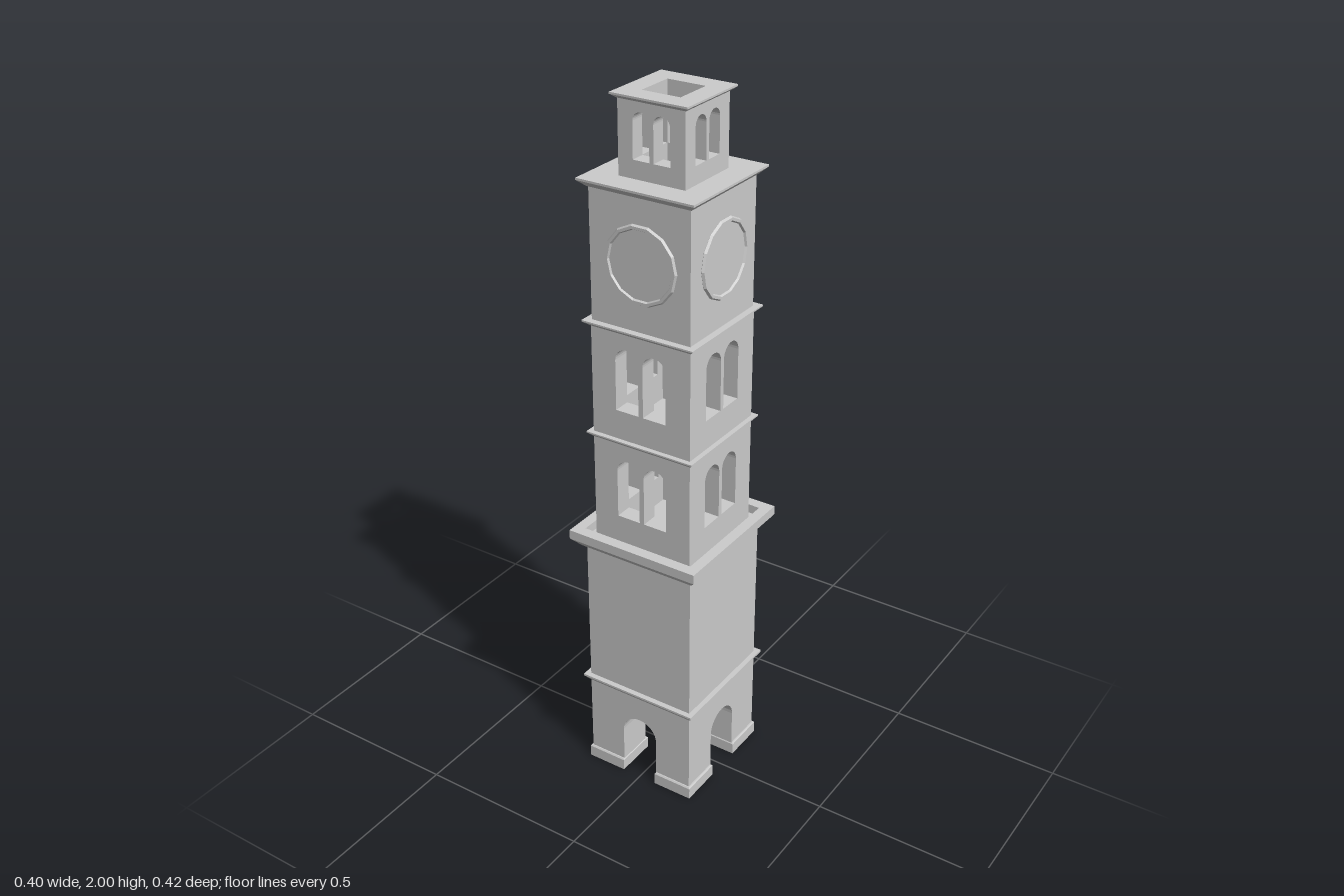
import * as THREE from 'three';

const stone = new THREE.MeshStandardMaterial({ color: 0xcccccc, flatShading: true });

function add(parent, name, geometry) {
  const mesh = new THREE.Mesh(geometry, stone);
  mesh.name = name;
  parent.add(mesh);
  return mesh;
}

// Square-plan solid: profile of [half width, height] swept round four sides
function squareLathe(parent, name, profile) {
  const pts = profile.map(([h, y]) => new THREE.Vector2(h * Math.SQRT2, y));
  return add(parent, name, new THREE.LatheGeometry(pts, 4, Math.PI / 4));
}

// Moulding that flares from a narrow underside to a wide top
function band(parent, name, y0, y1, inner, outer) {
  const lip = y0 + (y1 - y0) * 0.75;
  return squareLathe(parent, name, [[0, y0], [inner, y0], [outer, lip], [outer, y1], [0, y1]]);
}

// Round-headed window opening
function archHole(x, half, y0, top) {
  const p = new THREE.Path();
  p.moveTo(x - half, y0);
  p.lineTo(x + half, y0);
  p.absarc(x, top - half, half, 0, Math.PI, false);
  p.closePath();
  return p;
}

function rectWall(half, y0, y1, holes) {
  const s = new THREE.Shape();
  s.moveTo(-half, y0);
  s.lineTo(half, y0);
  s.lineTo(half, y1);
  s.lineTo(-half, y1);
  s.closePath();
  s.holes.push(...holes);
  return s;
}

// Wall with an arched doorway open to the ground
function doorWall(half, y0, y1, w, top) {
  const s = new THREE.Shape();
  s.moveTo(-half, y0);
  s.lineTo(-w, y0);
  s.absarc(0, top - w, w, Math.PI, 0, true);
  s.lineTo(w, y0);
  s.lineTo(half, y0);
  s.lineTo(half, y1);
  s.lineTo(-half, y1);
  s.closePath();
  return s;
}

// Four thick walls; the side pair fits between the front and back pair
function fourWalls(parent, name, half, depth, makeShape) {
  const group = new THREE.Group();
  group.name = name;
  for (let i = 0; i < 4; i++) {
    const shape = makeShape(i % 2 ? half - depth : half);
    const geo = new THREE.ExtrudeGeometry(shape, { depth, bevelEnabled: false, curveSegments: 8 });
    geo.translate(0, 0, half - depth);
    geo.rotateY(i * Math.PI / 2);
    add(group, 'wall', geo);
  }
  parent.add(group);
  return group;
}

// Storey with a pair of arched windows on each side
function windowStorey(parent, name, half, depth, y0, y1, win) {
  return fourWalls(parent, name, half, depth, (h) =>
    rectWall(h, y0, y1, [-1, 1].map((s) => archHole(s * win.x, win.half, win.y0, win.top))));
}

export function createModel() {
  const tower = new THREE.Group();
  tower.name = 'clockTower';

  // Lower tower, slightly deeper than wide
  const lower = new THREE.Group();
  lower.name = 'lowerTower';
  lower.scale.z = 1.035;
  lower.position.set(-0.002, 0, -0.002);
  tower.add(lower);

  fourWalls(lower, 'archedBase', 0.168, 0.106, (h) => doorWall(h, 0.034, 0.285, 0.056, 0.203));

  // Pier feet, open underneath
  for (const sx of [-1, 1]) {
    for (const sz of [-1, 1]) {
      const foot = squareLathe(lower, 'pierFoot', [[0.06, 0], [0.06, 0.034], [0.057, 0.038], [0, 0.038]]);
      foot.position.set(sx * 0.114, 0, sz * 0.114);
    }
  }

  band(lower, 'baseBand', 0.279, 0.302, 0.169, 0.183);
  squareLathe(lower, 'shaft', [[0.168, 0.3], [0.168, 0.745]]);

  // Main cornice with a shallow recess behind its rim
  squareLathe(lower, 'mainCornice', [
    [0, 0.74], [0.177, 0.74], [0.201, 0.767], [0.201, 0.794],
    [0.17, 0.794], [0.17, 0.768], [0, 0.768],
  ]);

  // Upper tower
  const upper = new THREE.Group();
  upper.name = 'upperTower';
  upper.position.set(-0.003, 0, -0.003);
  tower.add(upper);

  windowStorey(upper, 'firstWindowStorey', 0.151, 0.05, 0.766, 1.08,
    { x: 0.042, half: 0.035, y0: 0.853, top: 1.028 });
  band(upper, 'firstStoreyBand', 1.076, 1.092, 0.152, 0.165);
  windowStorey(upper, 'secondWindowStorey', 0.151, 0.05, 1.09, 1.4,
    { x: 0.042, half: 0.035, y0: 1.175, top: 1.354 });
  band(upper, 'secondStoreyBand', 1.397, 1.414, 0.152, 0.168);
  squareLathe(upper, 'clockStorey', [[0.149, 1.41], [0.149, 1.775]]);
  band(upper, 'clockCornice', 1.769, 1.792, 0.152, 0.171);

  // Clock face and rim on each side
  for (let i = 0; i < 4; i++) {
    const clock = new THREE.Group();
    clock.name = 'clock';
    clock.rotation.y = i * Math.PI / 2;
    const face = add(clock, 'clockFace', new THREE.CircleGeometry(0.1, 14));
    face.position.set(0.004, 1.595, 0.151);
    const rim = add(clock, 'clockRim', new THREE.TorusGeometry(0.1, 0.0075, 6, 14));
    rim.position.set(0.004, 1.595, 0.15);
    upper.add(clock);
  }

  // Belfry with an open-topped cap
  const belfry = new THREE.Group();
  belfry.name = 'belfry';
  belfry.position.x = 0.001;
  tower.add(belfry);
  windowStorey(belfry, 'belfryWalls', 0.097, 0.041, 1.79, 1.99,
    { x: 0.03, half: 0.024, y0: 1.84, top: 1.96 });
  squareLathe(belfry, 'belfryCap', [
    [0.055, 1.985], [0.098, 1.985], [0.111, 1.995], [0.111, 2], [0.055, 2], [0.055, 1.985],
  ]);

  return tower;
}
